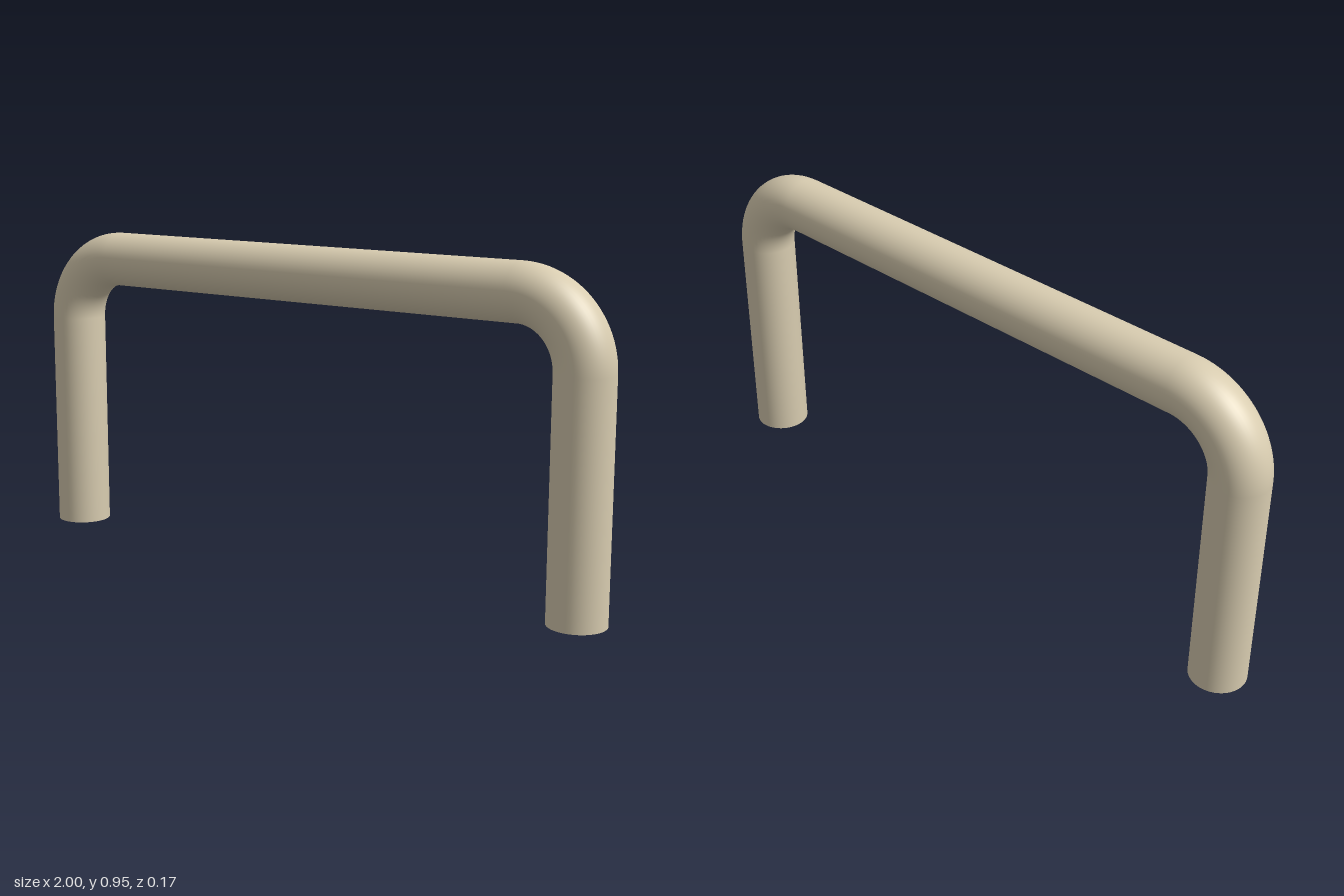
import * as THREE from 'three';

const R = 0.083;      // pipe radius
const BEND = 0.197;   // centre-line radius of the corner bends
const X = 1 - R;      // leg centre line
const Y = 0.955 - R;  // rail centre line
const SIDES = 48;

export function createModel() {
  const group = new THREE.Group();
  group.name = 'tubularHandle';
  const material = new THREE.MeshStandardMaterial({ color: 0xd8ccb0, side: THREE.DoubleSide });

  const add = (name, geometry, x, y) => {
    const mesh = new THREE.Mesh(geometry, material);
    mesh.name = name;
    mesh.position.set(x, y, 0);
    group.add(mesh);
    return mesh;
  };
  // straight pipe, open at both ends
  const pipe = (length) => new THREE.CylinderGeometry(R, R, length, SIDES, 1, true);

  // top rail
  add('topRail', pipe(2 * (X - BEND)), 0, Y).rotation.z = Math.PI / 2;

  // legs and quarter-circle bends on both sides
  const legHeight = Y - BEND;
  for (const [side, s] of [['left', 1], ['right', -1]]) {
    add(side + 'Leg', pipe(legHeight), s * X, legHeight / 2);
    const bend = new THREE.TorusGeometry(BEND, R, SIDES, 24, Math.PI / 2);
    if (s < 0) bend.rotateZ(Math.PI / 2);
    add(side + 'Bend', bend, s * (X - BEND), legHeight);
  }
  return group;
}
